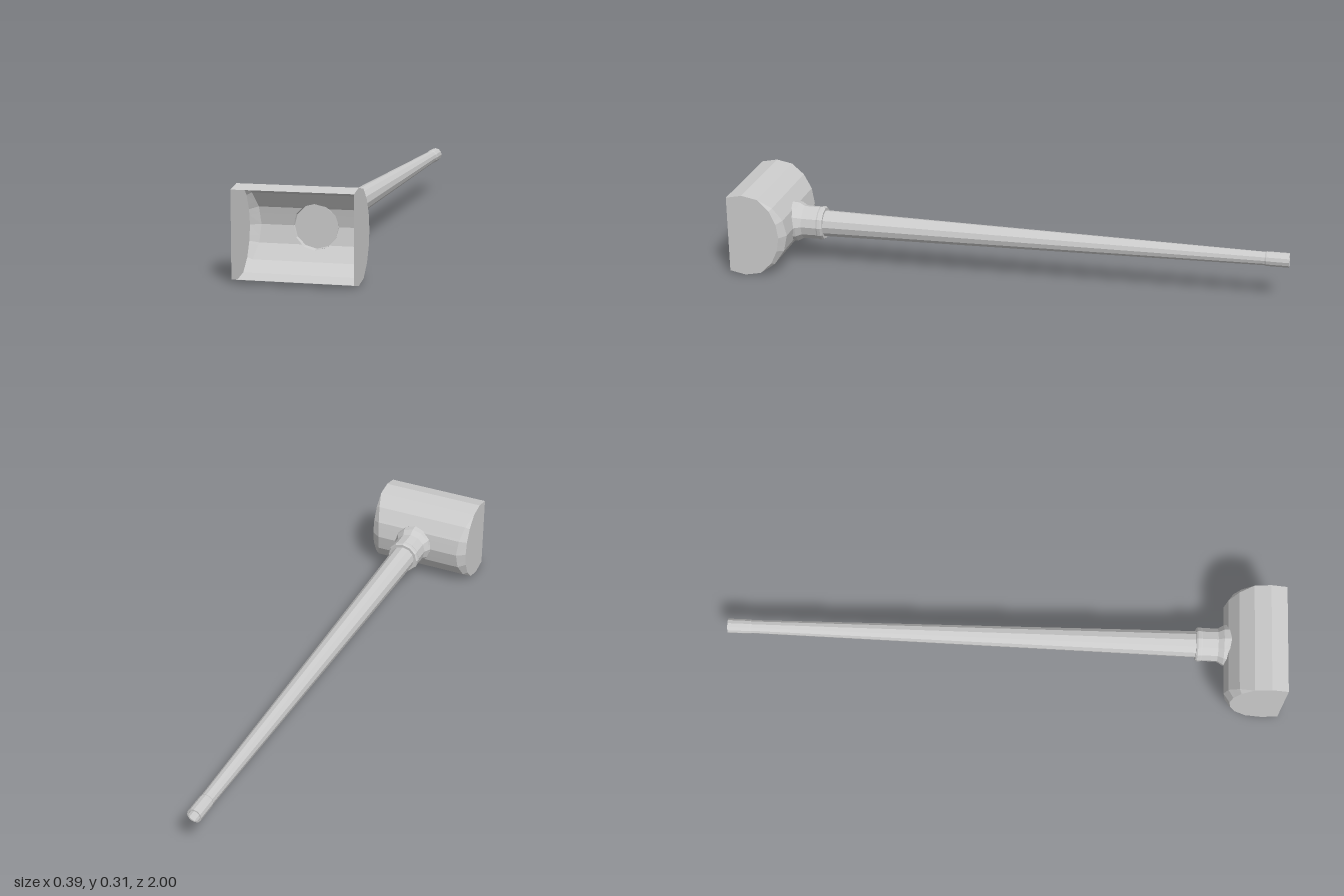
import * as THREE from 'three';

const CX = 0.018, CY = 0.1535; // handle axis
const HALF = 0.197;            // half length of the head
const MID_Z = 0.9415;          // centre of the head's round section

// Upper half of the head section:
// [height above axis, z, x where the end bevel starts, bevel inset scale, half width of the socket hole]
const UPPER = [
  [0, 0.7885, 0.165, 0.86, 0.075],
  [0.0375, 0.7959, 0.168, 0.868, 0.065],
  [0.0585, 0.8001, 0.17, 0.874, 0.044],
  [0.065, 0.8045, 0.1716, 0.88, 0.0375],
  [0.075, 0.8112, 0.174, 0.89, 0],
  [0.108, 0.8333, 0.182, 0.928, 0],
  [0.1414, 0.8829, HALF, 1, 0],
  [0.153, MID_Z, HALF, 1, 0],
  [0.1414, 1, HALF, 1, 0],
];
const ROWS = [
  ...UPPER.slice(1).reverse().map(([h, ...rest]) => [-h, ...rest]),
  ...UPPER,
];

const material = () => new THREE.MeshStandardMaterial({
  color: 0xcccccc, flatShading: true, side: THREE.DoubleSide,
});

function addMesh(group, name, geometry) {
  const mesh = new THREE.Mesh(geometry, material());
  mesh.name = name;
  group.add(mesh);
  return mesh;
}

// One half of the open head: curved wall, bevel and flat end plate
function headHalf(side) {
  const pos = [], index = [], cols = 4;
  for (const [h, z, bevelX, s, hole] of ROWS) {
    pos.push(
      CX + side * hole, CY + h, z,
      side * bevelX, CY + h, z,
      side * HALF, CY + h * s, MID_Z + (z - MID_Z) * s,
      side * HALF, CY, 1,
    );
  }
  for (let i = 0; i < ROWS.length - 1; i++) {
    for (let j = 0; j < cols - 1; j++) {
      const a = i * cols + j, b = a + 1, c = b + cols, d = a + cols;
      if (side > 0) index.push(a, c, b, a, d, c);
      else index.push(a, b, c, a, c, d);
    }
  }
  const g = new THREE.BufferGeometry();
  g.setAttribute('position', new THREE.Float32BufferAttribute(pos, 3));
  g.setIndex(index);
  g.computeVertexNormals();
  return g;
}

// Twelve-sided turned part along z, from [radius, z] pairs
function turned(profile) {
  const g = new THREE.LatheGeometry(profile.map(([r, z]) => new THREE.Vector2(r, z)), 12);
  return g.rotateX(Math.PI / 2).translate(CX, CY, 0);
}

export function createModel() {
  const model = new THREE.Group();
  model.name = 'longHandledHead';

  addMesh(model, 'headLeft', headHalf(1));
  addMesh(model, 'headRight', headHalf(-1));

  // Socket with a flared mouth that follows the curve of the head
  const socket = turned([
    [0.048, 0.687], [0.058, 0.687], [0.062, 0.693], [0.062, 0.704],
    [0.06, 0.709], [0.061, 0.765], [0.073, 0.785], [0.075, 0.81],
  ]);
  const p = socket.attributes.position;
  for (let i = 0; i < p.count; i++) {
    if (p.getZ(i) < 0.8) continue;
    const h = Math.abs(p.getY(i) - CY);
    const near = UPPER.reduce((a, b) => Math.abs(b[0] - h) < Math.abs(a[0] - h) ? b : a);
    p.setZ(i, near[1]);
  }
  addMesh(model, 'socket', socket);
  addMesh(model, 'socketPlate', turned([[0.073, 0.785], [0, 0.785]]));

  // Tapered handle with a hollow end sleeve
  addMesh(model, 'handle', turned([[0.024, -0.92], [0.048, 0.69]]));
  addMesh(model, 'endSleeve', turned([
    [0, -0.92], [0.021, -0.92], [0.021, -1], [0.026, -1], [0.026, -0.92], [0.024, -0.915],
  ]));

  return model;
}
